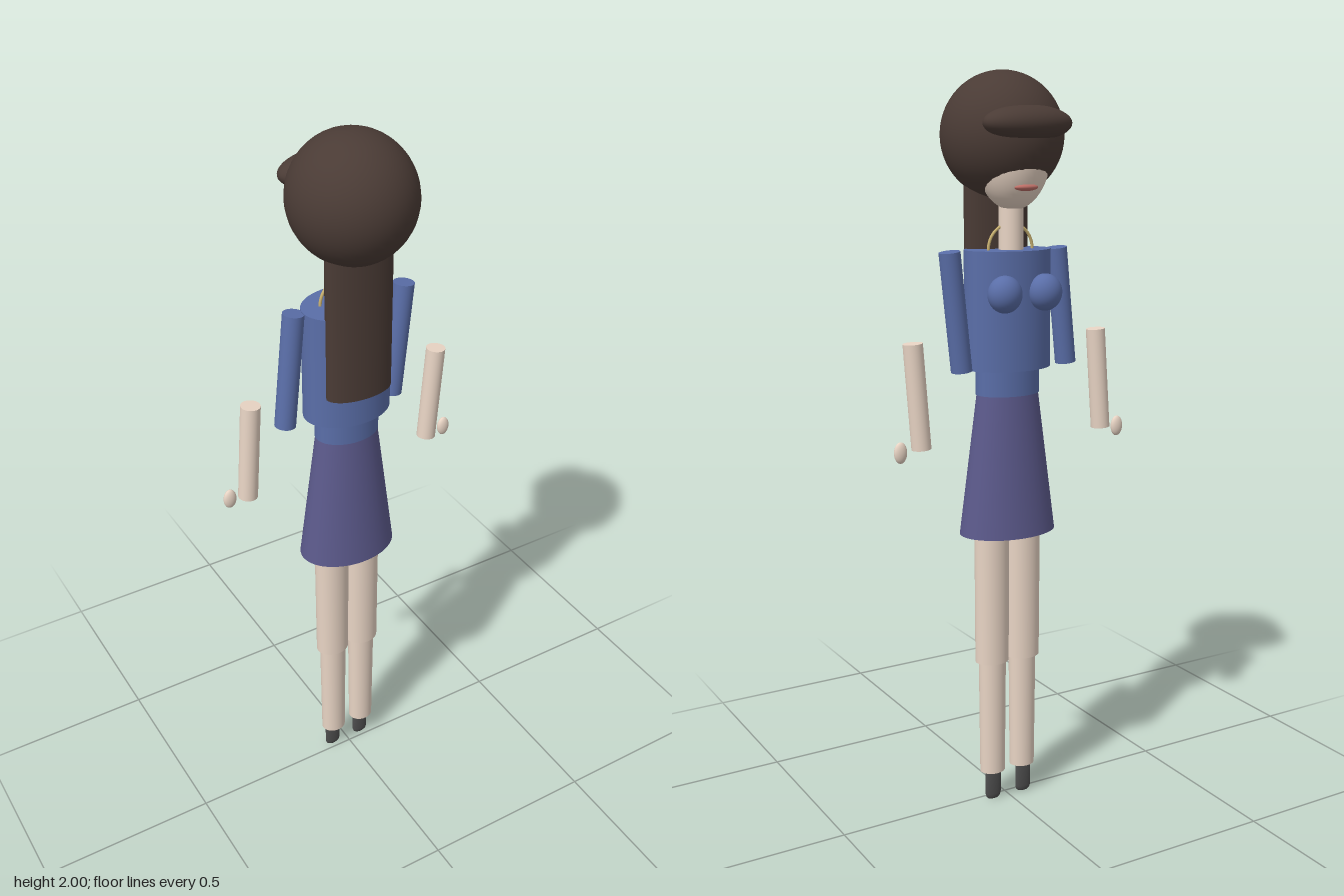
import * as THREE from 'three';

const mat = (color) => new THREE.MeshStandardMaterial({ color });
const skin = mat(0xe8d4c4), hairMat = mat(0x4a3b35), shirt = mat(0x5a6ea8);
const skirtMat = mat(0x5c5a8c), shoeMat = mat(0x4c4c4c), lipMat = mat(0xc07068), chainMat = mat(0xc8b070);

export function createModel() {
  const model = new THREE.Group();
  const add = (name, geometry, material, x, y, z) => {
    const mesh = new THREE.Mesh(geometry, material);
    mesh.name = name;
    mesh.position.set(x, y, z);
    model.add(mesh);
    return mesh;
  };
  // Ellipsoid with radii rx, ry, rz
  const blob = (name, material, x, y, z, rx, ry, rz) =>
    add(name, new THREE.SphereGeometry(1, 40, 28), material, x, y, z).scale.set(rx, ry, rz);
  // Upright elliptical tube from y0 to y1; depth = z radius / x radius
  const column = (name, material, x, z, y0, y1, rBottom, rTop, depth) =>
    add(name, new THREE.CylinderGeometry(rTop, rBottom, y1 - y0, 40), material, x, (y0 + y1) / 2, z).scale.z = depth;
  // Round limb between two points
  const limb = (name, material, a, b, r) => {
    const from = new THREE.Vector3(...a), to = new THREE.Vector3(...b);
    const dir = to.clone().sub(from), mid = from.add(to).multiplyScalar(0.5);
    const mesh = add(name, new THREE.CylinderGeometry(r, r, dir.length(), 28), material, mid.x, mid.y, mid.z);
    mesh.quaternion.setFromUnitVectors(new THREE.Vector3(0, 1, 0), dir.normalize());
  };

  // Head and hair (the face looks toward -z)
  blob('hair', hairMat, 0, 1.838, 0.013, 0.159, 0.162, 0.165);
  blob('fringe', hairMat, 0, 1.867, -0.115, 0.125, 0.045, 0.063);
  column('longHair', hairMat, 0, 0.045, 1.325, 1.8, 0.093, 0.093, 0.49);
  blob('head', skin, 0, 1.795, -0.042, 0.1, 0.145, 0.09);
  blob('lips', lipMat, 0, 1.71, -0.105, 0.035, 0.01, 0.018);
  column('neck', skin, 0, -0.033, 1.5, 1.7, 0.032, 0.032, 1);
  add('necklace', new THREE.TorusGeometry(0.066, 0.004, 10, 48), chainMat, 0, 1.55, -0.03);

  // Body and skirt
  column('torso', shirt, 0, -0.015, 1.24, 1.55, 0.121, 0.121, 0.73);
  column('waist', shirt, 0, -0.015, 1.17, 1.24, 0.09, 0.09, 0.72);
  column('skirt', skirtMat, 0, -0.015, 0.79, 1.17, 0.138, 0.088, 0.71);

  // Shoe outline with a rounded sole edge
  const shoe = new THREE.LatheGeometry(
    [[0, 0.004], [0.015, 0.005], [0.021, 0.01], [0.024, 0.02], [0.024, 0.1], [0, 0.1]]
      .map(([x, y]) => new THREE.Vector2(x, y)), 32);

  for (const s of [-1, 1]) {
    const side = s > 0 ? 'left' : 'right';
    blob(side + 'Bust', shirt, s * 0.06, 1.443, -0.105, 0.046, 0.048, 0.041);

    // Legs
    column(side + 'Thigh', skin, s * 0.049, -0.015, 0.42, 0.8, 0.048, 0.049, 0.84);
    column(side + 'Calf', skin, s * 0.048, -0.015, 0.09, 0.43, 0.036, 0.039, 0.86);
    add(side + 'Shoe', shoe, shoeMat, s * 0.049, 0, -0.02).scale.z = 0.45;

    // Arms: both lean the same way
    limb(side + 'UpperArm', shirt, [s * 0.16 + 0.019, 1.55, -0.03], [s * 0.16 - 0.018, 1.24, -0.022], 0.028);
    limb(side + 'Forearm', skin, [s * 0.278 + 0.009, 1.325, -0.031], [s * 0.278 - 0.01, 1.05, -0.034], 0.026);
    blob(side + 'Hand', skin, s * 0.334, 1.05, -0.047, 0.018, 0.028, 0.011);
  }
  return model;
}
